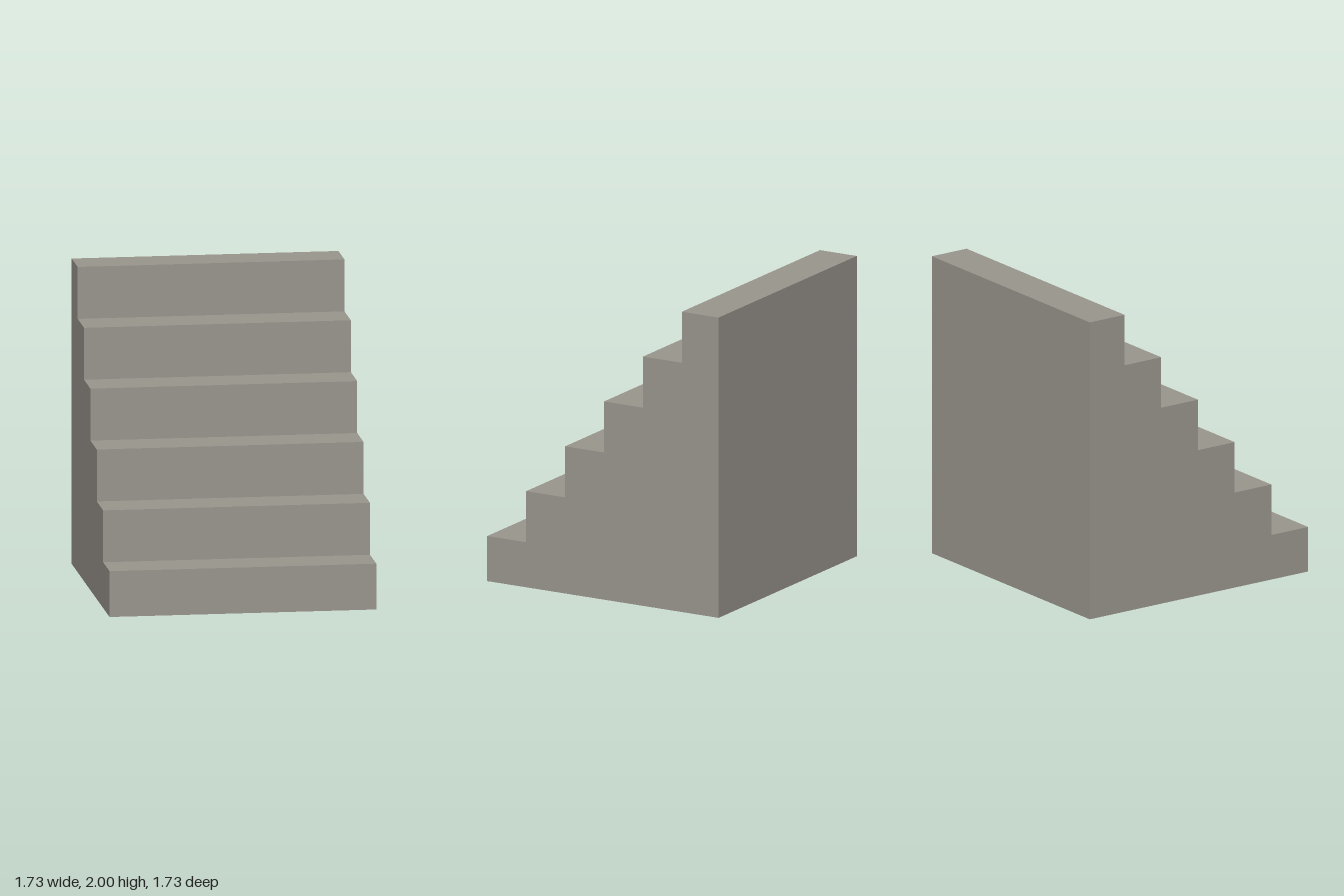
import * as THREE from 'three';

const WIDTH = 1.73, HALF = 0.865;
const STEPS = 6, FIRST_RISE = 0.3, RISE = 0.34, TREAD = 0.291;

export function createModel() {
  const group = new THREE.Group();
  group.name = 'staircase';
  const stone = new THREE.MeshStandardMaterial({ color: 0x9a968e });
  stone.name = 'warm grey stone';

  // Side profile: shape x runs from the front edge to the back
  const profile = new THREE.Shape();
  profile.moveTo(-HALF, 0);
  profile.lineTo(HALF, 0);
  profile.lineTo(HALF, FIRST_RISE + (STEPS - 1) * RISE);
  for (let i = STEPS - 1; i >= 0; i--) {
    const front = -HALF + i * TREAD;
    const top = FIRST_RISE + i * RISE;
    profile.lineTo(front, top);
    if (i > 0) profile.lineTo(front, top - RISE);
  }
  profile.closePath();

  // Solid flight of steps, extruded across the width
  const geometry = new THREE.ExtrudeGeometry(profile, { depth: WIDTH, bevelEnabled: false });
  geometry.translate(0, 0, -WIDTH / 2);
  geometry.rotateY(Math.PI / 2);

  const steps = new THREE.Mesh(geometry, stone);
  steps.name = 'steps';
  group.add(steps);
  return group;
}
